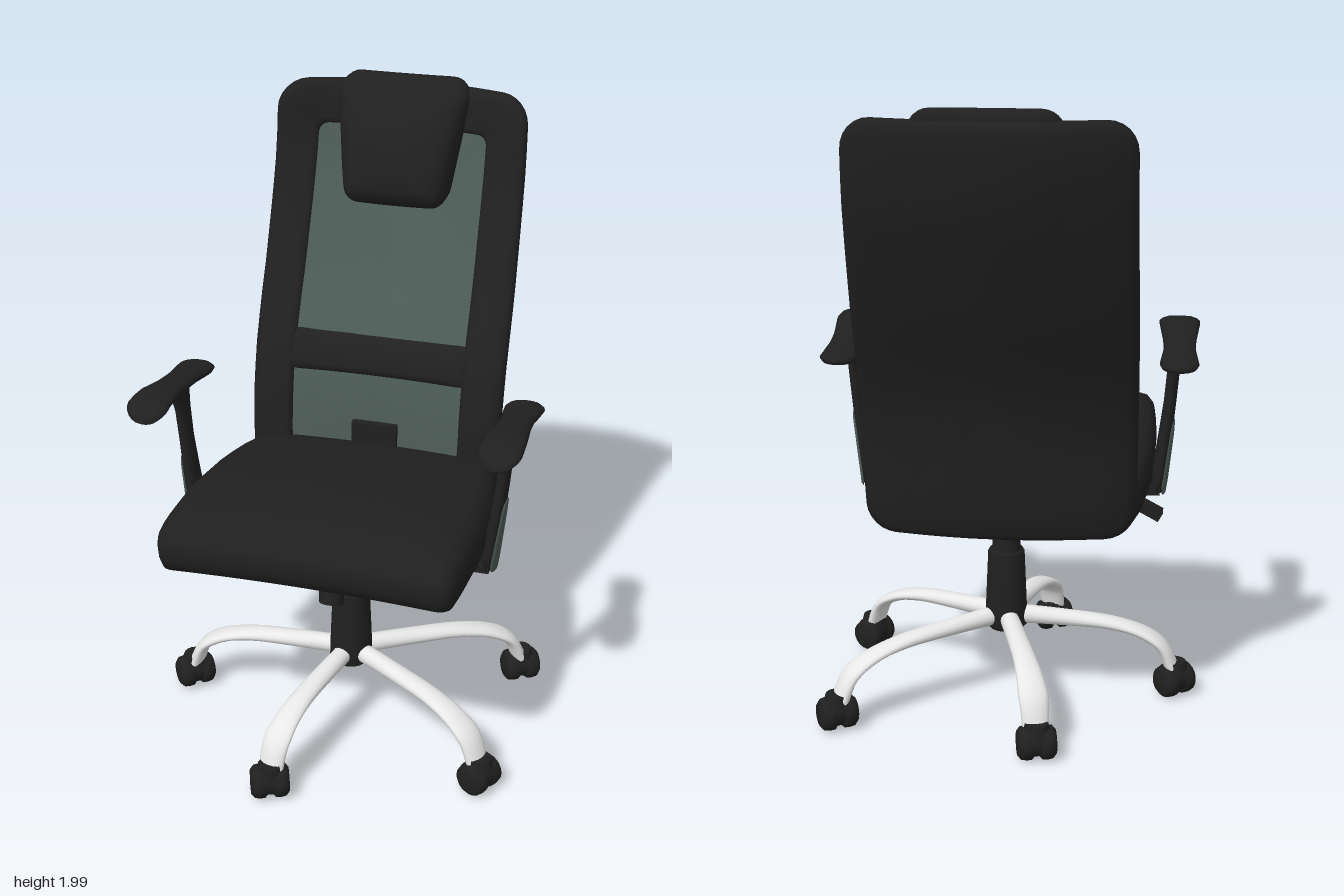
import * as THREE from 'three';

const black = new THREE.MeshStandardMaterial({ color: 0x202020 });
black.name = 'black fabric and plastic';
const grey = new THREE.MeshStandardMaterial({ color: 0x4d5c57 });
grey.name = 'grey green mesh';
const metal = new THREE.MeshStandardMaterial({ color: 0xe8e8e8 });
metal.name = 'light metal';

const lerp = THREE.MathUtils.lerp;

// Reads a value from a short table of [key, value] rows with ascending keys
function table(rows, k) {
  if (k <= rows[0][0]) return rows[0][1];
  for (let i = 1; i < rows.length; i++) {
    const [k0, v0] = rows[i - 1], [k1, v1] = rows[i];
    if (k <= k1) return lerp(v0, v1, (k - k0) / (k1 - k0));
  }
  return rows[rows.length - 1][1];
}

// Skins a list of closed loops that all have the same number of points
function loft(loops) {
  const n = loops[0].length, index = [];
  for (let i = 0; i < loops.length - 1; i++) {
    for (let j = 0; j < n; j++) {
      const a = i * n + j, d = i * n + (j + 1) % n;
      index.push(a, a + n, d + n, a, d + n, d);
    }
  }
  const geo = new THREE.BufferGeometry();
  geo.setAttribute('position', new THREE.Float32BufferAttribute(loops.flat(2), 3));
  geo.setIndex(index);
  geo.computeVertexNormals();
  return geo;
}

// Rounded rectangle, counter-clockwise
function outline(a, b, r) {
  const pts = [], arc = 6, side = 14;
  const signs = [[1, 1], [-1, 1], [-1, -1], [1, -1]];
  r = Math.min(r, a, b);
  for (let k = 0; k < 4; k++) {
    for (let j = 0; j <= arc; j++) {
      const t = (k + j / arc) * Math.PI / 2;
      pts.push([signs[k][0] * (a - r) + r * Math.cos(t), signs[k][1] * (b - r) + r * Math.sin(t)]);
    }
    const p = pts[pts.length - 1], t = (k + 1) * Math.PI / 2, s = signs[(k + 1) % 4];
    const q = [s[0] * (a - r) + r * Math.cos(t), s[1] * (b - r) + r * Math.sin(t)];
    for (let j = 1; j < side; j++) pts.push([lerp(p[0], q[0], j / side), lerp(p[1], q[1], j / side)]);
  }
  return pts;
}

// Cushion made of concentric outlines [inset, depth], front to back, bent by a rule.
// An inset of the full half size closes the surface on its middle line.
function pad(a, b, r, rings, warp) {
  return loft(rings.map(([inset, d]) =>
    outline(Math.max(a - inset, 0), Math.max(b - inset, 0), Math.max(r - inset, 0.03))
      .map(([x, y]) => warp(x, y, d))));
}

const ellipse = (f, n = 16) => Array.from({ length: n }, (_, i) => {
  const t = i / n * Math.PI * 2;
  return f(Math.cos(t), Math.sin(t));
});

function add(parent, name, geo, mat, x = 0, y = 0, z = 0) {
  const mesh = new THREE.Mesh(geo, mat);
  mesh.name = name;
  mesh.position.set(x, y, z);
  parent.add(mesh);
  return mesh;
}

// Rod between two points
function rod(parent, name, from, to, r0, r1, mat) {
  const a = new THREE.Vector3(...from), b = new THREE.Vector3(...to);
  const mesh = add(parent, name, new THREE.CylinderGeometry(r1, r0, a.distanceTo(b), 20), mat);
  mesh.position.copy(a).lerp(b, 0.5);
  mesh.quaternion.setFromUnitVectors(new THREE.Vector3(0, 1, 0), b.sub(a).normalize());
}

// Backrest space: x across, y height, d from rear 0 to front 1.
// The rear is curved across; the front is flat below and curved above.
const backLine = [[0.67, -0.307], [0.8, -0.325], [1, -0.342], [1.13, -0.37], [1.2, -0.395], [1.28, -0.43],
  [1.4, -0.485], [1.53, -0.535], [1.63, -0.572], [1.72, -0.603], [1.82, -0.625], [1.93, -0.637], [1.98, -0.635]];
const backWidth = [[0.67, 0.985], [0.9, 1], [1.3, 1], [1.9, 0.975]];
const backCurve = [[1.2, 0.065], [1.9, 0.095]];
const backDepth = [[1.2, 0.128], [1.55, 0.105], [1.9, 0.07]];
const sideDepth = [[1.15, 0.078], [1.4, 0.066], [1.6, 0.058], [1.9, 0.062]];
function bend(x, y, d) {
  const w = x * table(backWidth, y), q = (w / 0.41) ** 2;
  const depth = lerp(table(backDepth, y), table(sideDepth, y), q);
  return [w + 0.008, y, table(backLine, y) + table(backCurve, y) * q + d * depth];
}

function makeBackrest(root) {
  const g = new THREE.Group();
  g.name = 'backrest';
  root.add(g);
  const warp = (x, y, d) => bend(x, y + 1.32, d);
  add(g, 'backFrame', pad(0.415, 0.65, 0.09, [[0.137, 0.75], [0.134, 0.85], [0.127, 0.94], [0.115, 0.98],
    [0.06, 1], [0.03, 0.96], [0.01, 0.83], [0, 0.6], [0, 0.3], [0.008, 0.12], [0.03, 0],
    [0.1, 0], [0.2, 0], [0.3, 0], [0.415, 0]], warp), black);
  add(g, 'meshPanel', pad(0.415, 0.65, 0.09, [[0.415, 0.85], [0.34, 0.85], [0.27, 0.84], [0.2, 0.83],
    [0.132, 0.81]], warp), grey);
  add(g, 'lumbarBar', pad(0.3, 0.066, 0.03, [[0.066, 0.98], [0.03, 0.97], [0.01, 0.92], [0, 0.78]],
    (x, y, d) => bend(x, y + 1.154, d)), black);
  add(g, 'lumbarBracket', new THREE.BoxGeometry(0.15, 0.08, 0.05), black, 0.01, 0.9, -0.23);

  // Headrest hangs over the top edge, d runs from rear 0 to front 1
  const front = [[1.61, -0.375], [1.65, -0.362], [1.735, -0.376], [1.83, -0.405], [1.9, -0.437], [1.96, -0.472], [2, -0.515]];
  const rear = [[1.61, -0.52], [1.8, -0.58], [1.93, -0.6], [2, -0.615]];
  add(g, 'headrest', pad(0.21, 0.195, 0.06, [[0.21, 1], [0.12, 1], [0.07, 0.98], [0.035, 0.91], [0.012, 0.78],
    [0, 0.55], [0, 0.3], [0.012, 0.12], [0.04, 0], [0.1, 0], [0.21, 0]], (x, y, d) => {
    const h = y + 1.805;
    const w = x * lerp(0.78, 1, Math.min(1, (y + 0.195) / 0.33));
    return [w + 0.01, h, lerp(table(rear, h), table(front, h), d) - 0.5 * w * w * d];
  }), black);
}

function makeSeat(root) {
  const top = [[-0.27, 0.865], [0, 0.905], [0.2, 0.93], [0.35, 0.943], [0.47, 0.945], [0.59, 0.925]];
  const bottom = [[-0.27, 0.695], [0.15, 0.715], [0.3, 0.745], [0.59, 0.775]];
  const width = [[-0.27, 0.84], [-0.1, 0.935], [0.05, 0.98], [0.25, 1], [0.45, 0.99], [0.59, 0.965]];
  add(root, 'seatCushion', pad(0.467, 0.43, 0.055, [[0.43, 1], [0.3, 1], [0.2, 1], [0.12, 0.99], [0.06, 0.93],
    [0.025, 0.79], [0.005, 0.5], [0, 0.15], [0.003, -0.35], [0.014, -0.75], [0.045, -0.95], [0.1, -1], [0.25, -1], [0.43, -1]],
  (x, y, d) => {
    const z = 0.158 - y;
    return [x * table(width, z) + 0.007, lerp(table(bottom, z), table(top, z), (d + 1) / 2) - 0.06 * x * x, z];
  }), black);
  add(root, 'seatPan', pad(0.41, 0.24, 0.08, [[0.24, 0.74], [0.02, 0.74], [0, 0.72], [0.02, 0.695], [0.08, 0.68], [0.24, 0.675]],
    (x, y, d) => [x + 0.01, d + 0.08 * x * x, 0.05 - y]), black);
}

function makeArm(root, side) {
  const g = new THREE.Group();
  g.name = side > 0 ? 'leftArm' : 'rightArm';
  g.position.x = 0.005;
  root.add(g);
  // Waisted arm pad with a raised front
  const height = [[-0.07, 1.16], [0, 1.165], [0.1, 1.18], [0.2, 1.195], [0.29, 1.213], [0.36, 1.213], [0.4, 1.195], [0.43, 1.17]];
  const width = [[-0.07, 0.97], [0, 0.93], [0.1, 0.78], [0.17, 0.8], [0.3, 1], [0.42, 1.04]];
  add(g, 'armPad', pad(0.065, 0.247, 0.06, [[0.065, 0.017], [0.03, 0.016], [0.01, 0.009], [0, 0],
    [0.008, -0.012], [0.03, -0.02], [0.065, -0.022]], (x, y, d) => {
    const z = 0.177 - y;
    return [side * 0.53 + x * table(width, z), table(height, z) + d, z];
  }), black);
  // Post stations: height, x, half width, z, half depth
  const post = [[1.185, 0.52, 0.024, 0.15, 0.08], [1.15, 0.518, 0.021, 0.15, 0.055], [1.1, 0.513, 0.02, 0.148, 0.04],
    [1, 0.505, 0.02, 0.148, 0.036], [0.9, 0.494, 0.022, 0.15, 0.042], [0.75, 0.476, 0.025, 0.15, 0.05],
    [0.7, 0.47, 0.022, 0.15, 0.046], [0.69, 0.47, 0, 0.15, 0]];
  add(g, 'armPost', loft(post.map(([y, x, w, z, d]) => ellipse((c, s) => [side * x + c * w, y, z - s * d]))), black);
  add(g, 'armPostCover', pad(0.052, 0.127, 0.04, [[0.052, 0.006], [0.008, 0.004], [0, -0.001], [0, -0.003]], (x, y, d) => {
    const w = x * lerp(1, 0.5, (y + 0.127) / 0.254);
    return [side * (0.507 + y * 0.1 + d - 4 * w * w), y + 0.815, 0.15 - side * w];
  }), grey);
  add(g, 'armBracket', new THREE.BoxGeometry(0.24, 0.025, 0.09), black, side * 0.36, 0.705, 0.15);
}

function makeLeg(root, x, z, yaw) {
  const dx = x - 0.02, dz = z - 0.09, reach = Math.hypot(dx, dz);
  const g = new THREE.Group();
  g.name = 'baseLeg';
  g.position.set(0.02, 0, 0.09);
  g.rotation.y = Math.atan2(dx, dz);
  root.add(g);
  // Flat arm that widens towards the caster
  const path = new THREE.CatmullRomCurve3([[0.03, 0.272], [0.35, 0.264], [0.62, 0.252], [0.8, 0.225], [0.92, 0.18], [0.985, 0.1]]
    .map(([r, y]) => new THREE.Vector3(0, y, r * reach)));
  const loops = [];
  for (let i = 0; i <= 20; i++) {
    const u = i / 20, p = path.getPoint(u), t = path.getTangent(u);
    const w = table([[0, 0.03], [0.4, 0.037], [0.75, 0.047], [1, 0.042]], u);
    const h = table([[0, 0.032], [0.5, 0.018], [0.75, 0.018], [1, 0.024]], u);
    loops.push(ellipse((c, s) => [-c * w, p.y + s * h * t.z, p.z - s * h * t.y]));
  }
  add(g, 'legTube', loft(loops), metal);

  // Twin-wheel caster with a hood
  const caster = new THREE.Group();
  caster.name = 'caster';
  caster.position.set(x, 0.061, z);
  caster.rotation.y = yaw;
  root.add(caster);
  const profile = [[0, -0.026], [0.042, -0.026], [0.053, -0.016], [0.054, 0], [0.051, 0.016], [0.038, 0.027], [0, 0.029]];
  const wheel = new THREE.LatheGeometry(profile.map(([r, h]) => new THREE.Vector2(r, h)), 20);
  for (const s of [-1, 1]) {
    add(caster, 'wheel', wheel, black, s * 0.033).rotation.z = -s * Math.PI / 2;
  }
  add(caster, 'hood', new THREE.CylinderGeometry(0.05, 0.05, 0.06, 20), black, 0, 0.008, 0).rotation.z = Math.PI / 2;
  add(caster, 'stem', new THREE.CylinderGeometry(0.036, 0.046, 0.04, 16), black, 0, 0.045, 0);
}

export function createModel() {
  const root = new THREE.Group();
  root.name = 'officeChair';
  makeBackrest(root);
  makeSeat(root);
  for (const side of [-1, 1]) makeArm(root, side);

  // Five-leg base: caster x, z and heading
  [[-0.105, 0.572, 0.4], [0.515, 0.36, 1.1], [0.525, -0.262, 0.5], [-0.12, -0.4, 0.2], [-0.54, 0.08, 0.7]]
    .forEach(([x, z, yaw]) => makeLeg(root, x, z, yaw));

  // Gas lift
  const column = [[0, 0.225], [0.055, 0.225], [0.07, 0.24], [0.068, 0.3], [0.06, 0.49], [0.055, 0.5], [0.046, 0.5], [0.046, 0.6], [0.04, 0.6], [0.04, 0.66]];
  add(root, 'gasLift', new THREE.LatheGeometry(column.map(([r, y]) => new THREE.Vector2(r, y)), 28), black, 0.02, 0, 0.09);

  // Tilt mechanism, back bracket and controls
  const housing = new THREE.CylinderGeometry(0.17, 0.12, 0.07, 4);
  housing.rotateY(Math.PI / 4);
  housing.scale(0.65, 1, 1);
  add(root, 'tiltHousing', housing, black, 0.015, 0.66, 0.085);
  add(root, 'backBracket', new THREE.BoxGeometry(0.14, 0.03, 0.36), black, 0.01, 0.69, -0.1);
  rod(root, 'tensionKnob', [0.005, 0.548, 0.266], [0.005, 0.73, 0.21], 0.038, 0.05, black);
  rod(root, 'leverRod', [-0.05, 0.69, 0.1], [-0.41, 0.665, 0.1], 0.009, 0.009, black);
  const paddle = add(root, 'leverPaddle', new THREE.BoxGeometry(0.09, 0.035, 0.05), black, -0.44, 0.65, 0.1);
  paddle.rotation.z = 0.5;
  return root;
}
